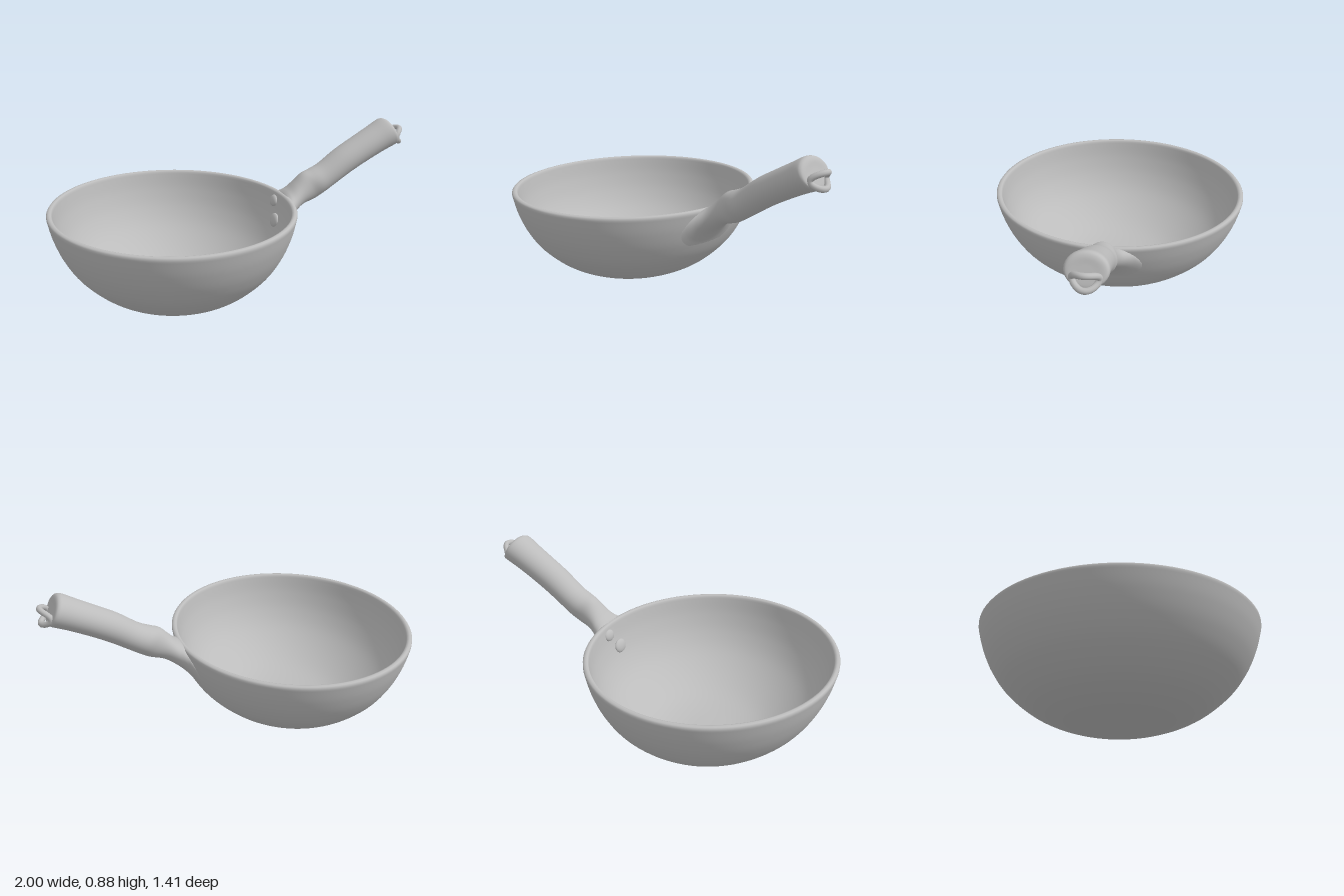
import * as THREE from 'three';

const steel = new THREE.MeshStandardMaterial({ color: 0xbcbcbc });
steel.name = 'lightGreySteel';

// Smooth tapered body lofted from [topX, topY, bottomX, bottomY, halfWidth] sections
function loft(sections, steps, sides) {
  const curve = f => new THREE.CatmullRomCurve3(sections.map(f), false, 'catmullrom', 0.5);
  const top = curve(s => new THREE.Vector3(s[0], s[1], 0));
  const bottom = curve(s => new THREE.Vector3(s[2], s[3], 0));
  const width = curve((s, i) => new THREE.Vector3(i, s[4], 0));
  const pos = [], index = [];
  for (let i = 0; i <= steps; i++) {
    const t = i / steps;
    const a = top.getPoint(t), b = bottom.getPoint(t), w = Math.max(0, width.getPoint(t).y);
    const mid = a.clone().add(b).multiplyScalar(0.5), up = a.sub(mid);
    for (let j = 0; j < sides; j++) {
      const ang = (j / sides) * Math.PI * 2, c = Math.cos(ang);
      pos.push(mid.x + up.x * c, mid.y + up.y * c, w * Math.sin(ang));
      if (i < steps) {
        const p = i * sides + j, q = i * sides + ((j + 1) % sides);
        index.push(p, q, p + sides, q, q + sides, p + sides);
      }
    }
  }
  const geo = new THREE.BufferGeometry();
  geo.setAttribute('position', new THREE.Float32BufferAttribute(pos, 3));
  geo.setIndex(index);
  geo.computeVertexNormals();
  return geo;
}

export function createModel() {
  const group = new THREE.Group();
  const add = (name, geo) => {
    const mesh = new THREE.Mesh(geo, steel);
    mesh.name = name;
    group.add(mesh);
    return mesh;
  };

  // Bowl: outer wall, rounded rim, inner wall; slightly narrower along x
  const curvePoints = pts => new THREE.SplineCurve(pts.map(p => new THREE.Vector2(...p))).getPoints(40);
  const outer = curvePoints([[0.17, 0], [0.31, 0.035], [0.448, 0.1], [0.567, 0.2], [0.638, 0.3], [0.682, 0.4], [0.706, 0.49]]);
  const rim = [[0.706, 0.5], [0.701, 0.507], [0.69, 0.51], [0.68, 0.507], [0.675, 0.5]].map(p => new THREE.Vector2(...p));
  const inner = curvePoints([[0.673, 0.49], [0.65, 0.4], [0.606, 0.3], [0.535, 0.207], [0.425, 0.122], [0.3, 0.062], [0.16, 0.035], [0, 0.03]]);
  const bowl = new THREE.LatheGeometry([new THREE.Vector2(0, 0), ...outer, ...rim, ...inner], 96);
  bowl.scale(0.645 / 0.705, 1, 1);
  bowl.translate(-0.355, 0, 0);
  add('bowl', bowl);

  // Handle: flared root, narrow neck, swelling grip and rounded end
  add('handle', loft([
    [0.272, 0.5, 0.215, 0.28, 0.185],
    [0.281, 0.512, 0.245, 0.322, 0.162],
    [0.293, 0.523, 0.284, 0.366, 0.13],
    [0.315, 0.54, 0.33, 0.405, 0.1],
    [0.348, 0.573, 0.388, 0.442, 0.08],
    [0.39, 0.613, 0.46, 0.465, 0.074],
    [0.44, 0.632, 0.515, 0.497, 0.083],
    [0.5, 0.66, 0.575, 0.535, 0.083],
    [0.6, 0.73, 0.67, 0.595, 0.087],
    [0.7, 0.787, 0.77, 0.65, 0.09],
    [0.8, 0.842, 0.87, 0.7, 0.095],
    [0.862, 0.877, 0.932, 0.727, 0.1],
    [0.888, 0.882, 0.953, 0.738, 0.097],
    [0.905, 0.868, 0.957, 0.752, 0.08],
    [0.918, 0.838, 0.94, 0.79, 0.035],
    [0.93, 0.812, 0.93, 0.812, 0],
  ], 90, 40));

  // Hanging ring: a saddle-bent loop at the handle end
  const ringPoints = [];
  for (let i = 0; i < 24; i++) {
    const t = (i / 24) * Math.PI * 2, s = Math.sin(t);
    ringPoints.push(new THREE.Vector3(0.942 + 0.043 * s * s, 0.786 + 0.038 * s, 0.06 * Math.cos(t)));
  }
  add('hangingRing', new THREE.TubeGeometry(new THREE.CatmullRomCurve3(ringPoints, true), 60, 0.015, 10, true));

  // Mounting bumps where the handle meets the inner wall
  for (const [x, y, z, r] of [[0.25, 0.455, -0.06, 0.032], [0.225, 0.365, 0.01, 0.038]]) {
    const bump = add('mountingBump', new THREE.SphereGeometry(1, 20, 14));
    bump.scale.set(0.016, r, r * 1.2);
    bump.position.set(x, y, z);
    bump.rotation.z = -0.28;
  }
  return group;
}
